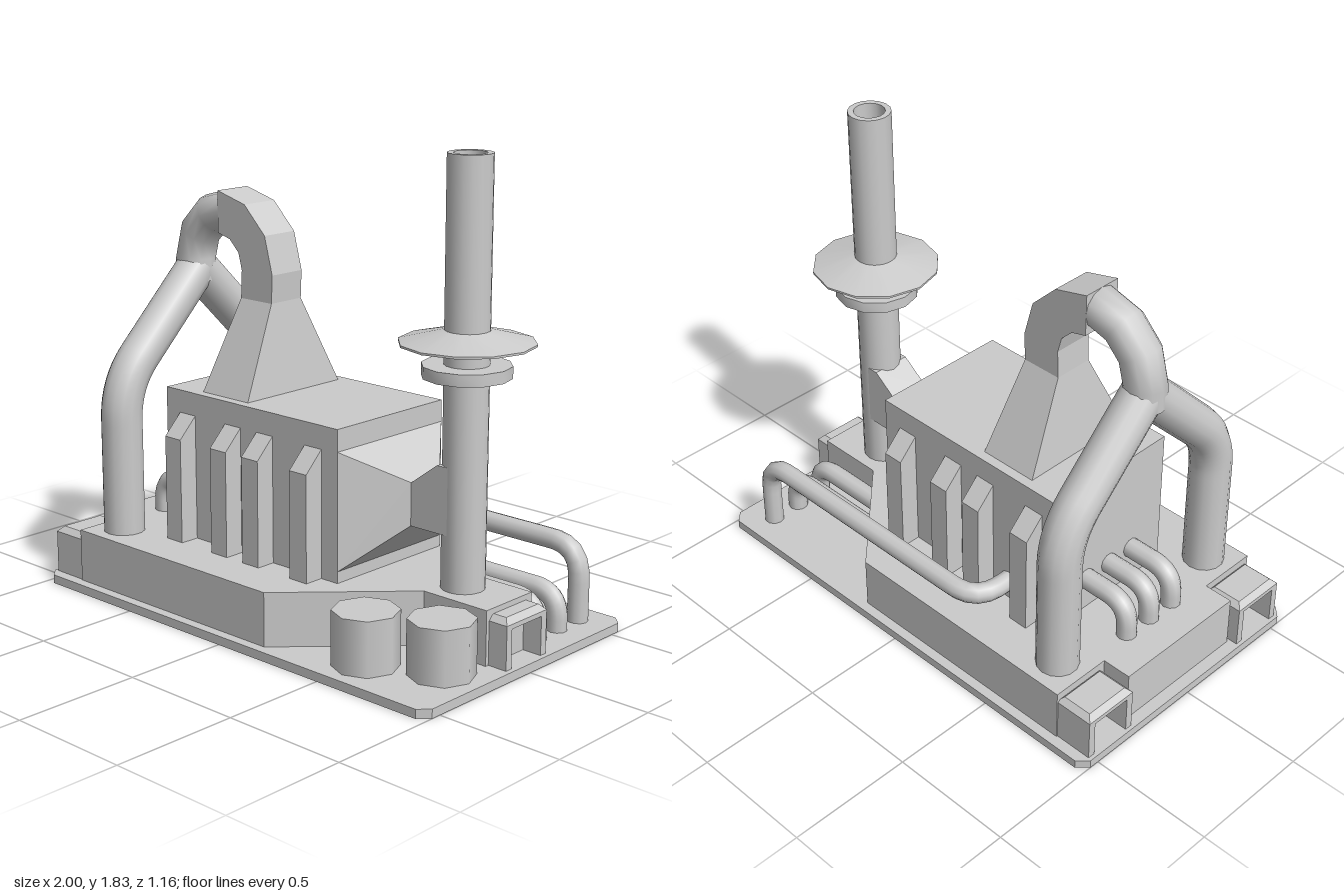
import * as THREE from 'three';
import { toCreasedNormals } from 'three/addons/utils/BufferGeometryUtils.js';

const V = (x, y, z) => new THREE.Vector3(x, y, z);
const material = new THREE.MeshStandardMaterial({ color: 0xcccccc });
const openMaterial = new THREE.MeshStandardMaterial({ color: 0xcccccc, side: THREE.DoubleSide });

export function createModel() {
  const model = new THREE.Group();

  function add(name, geometry, mat = material) {
    const mesh = new THREE.Mesh(geometry, mat);
    mesh.name = name;
    model.add(mesh);
    return mesh;
  }

  // box given by its limits
  function box(name, x0, x1, y0, y1, z0, z1) {
    add(name, new THREE.BoxGeometry(x1 - x0, y1 - y0, z1 - z0)
      .translate((x0 + x1) / 2, (y0 + y1) / 2, (z0 + z1) / 2));
  }

  // upright prism over an outline in x and z
  function prism(name, outline, y0, y1) {
    const shape = new THREE.Shape(outline.map(([x, z]) => new THREE.Vector2(x, -z)));
    add(name, new THREE.ExtrudeGeometry(shape, { depth: y1 - y0, bevelEnabled: false })
      .rotateX(-Math.PI / 2).translate(0, y0, 0));
  }

  // flat-faced solid through four-cornered sections, closed at both ends
  function loft(name, sections) {
    const tris = [];
    const quad = (a, b, c, d) => tris.push([a, b, c], [a, c, d]);
    for (let s = 0; s + 1 < sections.length; s++) {
      const p = sections[s], q = sections[s + 1];
      for (let i = 0; i < 4; i++) quad(p[i], p[(i + 1) % 4], q[(i + 1) % 4], q[i]);
    }
    const last = sections[sections.length - 1];
    quad(...[...sections[0]].reverse());
    quad(...last);
    // a negative volume means the faces point inwards
    const volume = tris.reduce((sum, [a, b, c]) => sum + a.dot(b.clone().cross(c)), 0);
    if (volume < 0) tris.forEach((t) => t.reverse());
    const geometry = new THREE.BufferGeometry().setFromPoints(tris.flat());
    geometry.computeVertexNormals();
    add(name, geometry);
  }
  const rectX = (x, y0, y1, z) => [V(x, y0, -z), V(x, y0, z), V(x, y1, z), V(x, y1, -z)];
  const rectY = (y, x0, x1, z) => [V(x0, y, -z), V(x0, y, z), V(x1, y, z), V(x1, y, -z)];

  // pipe along straight runs with rounded corners
  function pipe(name, points, radius, bend, sides = 12) {
    const path = new THREE.CurvePath();
    let from = points[0];
    for (let i = 1; i < points.length - 1; i++) {
      const corner = points[i];
      const a = corner.clone().add(points[i - 1].clone().sub(corner).setLength(bend));
      const b = corner.clone().add(points[i + 1].clone().sub(corner).setLength(bend));
      path.add(new THREE.LineCurve3(from, a));
      path.add(new THREE.QuadraticBezierCurve3(a, corner, b));
      from = b;
    }
    path.add(new THREE.LineCurve3(from, points[points.length - 1]));
    add(name, new THREE.TubeGeometry(path, 40, radius, sides), openMaterial);
  }

  function lathe(name, profile, sides, x) {
    const points = profile.map(([r, y]) => new THREE.Vector2(r, y));
    add(name, toCreasedNormals(new THREE.LatheGeometry(points, sides), 0.6).translate(x, 0, 0));
  }

  // base plate and stepped plinth
  prism('basePlate', [[-1, -0.54], [-1, 0.54], [-0.96, 0.58], [0.96, 0.58],
    [1, 0.54], [1, -0.54], [0.96, -0.58], [-0.96, -0.58]], 0, 0.035);
  const half = [[-0.95, 0.29], [-0.83, 0.29], [-0.83, 0.54], [0.2, 0.54], [0.61, 0.13], [0.9, 0.13]];
  prism('plinth', [...half, ...half.map(([x, z]) => [x, -z]).reverse()], 0.035, 0.245);

  // hollow hatches with a bevelled lid; the mouth points along dir
  function hatch(inner, outer, z) {
    const x0 = Math.min(inner, outer), x1 = Math.max(inner, outer);
    for (const s of [-1, 1]) {
      box('hatchSide', x0, x1, 0.035, 0.2, z + s * 0.1 - 0.015, z + s * 0.1 + 0.015);
    }
    const deck = (y, i) => [V(x0 + i, y, z - 0.115 + i), V(x0 + i, y, z + 0.115 - i),
      V(x1 - i, y, z + 0.115 - i), V(x1 - i, y, z - 0.115 + i)];
    loft('hatchLid', [deck(0.185, 0), deck(0.203, 0), deck(0.225, 0.022)]);
  }
  hatch(-0.82, -0.985, 0.42);
  hatch(-0.82, -0.985, -0.42);
  hatch(0.88, 0.98, 0);

  // main housing with sloped-top ribs on both sides
  box('housing', -0.58, 0.33, 0.245, 0.83, -0.29, 0.29);
  for (const x of [-0.505, -0.255, -0.085, 0.165]) {
    for (const s of [-1, 1]) {
      const section = (px) => [V(px, 0.24, s * 0.28), V(px, 0.24, s * 0.37),
        V(px, 0.66, s * 0.37), V(px, 0.75, s * 0.28)];
      loft('rib', [section(x), section(x + 0.085)]);
    }
  }

  // funnel narrowing from the housing, then opening into the chimney
  loft('exhaustFunnel', [rectX(0.33, 0.29, 0.745, 0.29), rectX(0.5, 0.455, 0.62, 0.08),
    rectX(0.62, 0.455, 0.71, 0.08), rectX(0.685, 0.455, 0.71, 0.08)]);

  // chimney with open top, flange and rain cap
  lathe('chimney', [[0.083, 0.24], [0.083, 1.83], [0.06, 1.83], [0.06, 1.6], [0, 1.6]], 16, 0.685);
  lathe('chimneyFlange', [[0.08, 1.035], [0.165, 1.035], [0.165, 1.08], [0.08, 1.08]], 12, 0.685);
  lathe('chimneyCap', [[0.08, 1.15], [0.25, 1.155], [0.25, 1.163], [0.083, 1.205]], 12, 0.685);

  // square duct: quarter bend, short drop and flared foot
  const bendY = 1.29;
  const duct = [90, 60, 30, 0].map((deg) => {
    const a = THREE.MathUtils.degToRad(deg);
    const at = (r, z) => V(-0.5 + r * Math.cos(a), bendY + r * Math.sin(a), z);
    return [at(0.13, -0.08), at(0.13, 0.08), at(0.295, 0.08), at(0.295, -0.08)];
  });
  loft('intakeDuct', [...duct, rectY(1.18, -0.375, -0.21, 0.08), rectY(0.83, -0.415, -0.17, 0.25)]);

  // round elbow meeting the duct, and the two legs that join under it
  add('intakeElbow', new THREE.TorusGeometry(0.213, 0.082, 12, 3, Math.PI / 2)
    .rotateZ(Math.PI / 2).translate(-0.5, bendY, 0), openMaterial);
  add('elbowStub', new THREE.CylinderGeometry(0.082, 0.082, 0.09, 12, 1, true)
    .translate(-0.713, bendY - 0.045, 0), openMaterial);
  for (const s of [-1, 1]) {
    pipe('intakeLeg', [V(-0.71, 0.2, s * 0.413), V(-0.71, 0.84, s * 0.413), V(-0.71, 1.25, 0)], 0.082, 0.14, 14);
  }

  // small pipes from the housing's right end down to the plinth
  for (const z of [-0.125, 0, 0.125]) {
    pipe('drainPipe', [V(-0.56, 0.39, z), V(-0.79, 0.39, z), V(-0.79, 0.2, z)], 0.04, 0.1, 10);
  }

  // long side pipe and two low pipes leaving the plinth
  pipe('sidePipe', [V(-0.335, 0.33, -0.27), V(-0.335, 0.33, -0.46), V(0.87, 0.33, -0.46),
    V(0.87, 0.03, -0.46)], 0.04, 0.125, 10);
  for (const z of [-0.33, -0.205]) {
    pipe('lowPipe', [V(0.3, 0.18, z), V(0.87, 0.18, z), V(0.87, 0.03, z)], 0.04, 0.1, 10);
  }

  // two eight-sided tanks
  for (const [x, z] of [[0.58, 0.41], [0.83, 0.29]]) {
    add('tank', new THREE.CylinderGeometry(0.125, 0.125, 0.21, 8).translate(x, 0.14, z));
  }

  return model;
}
